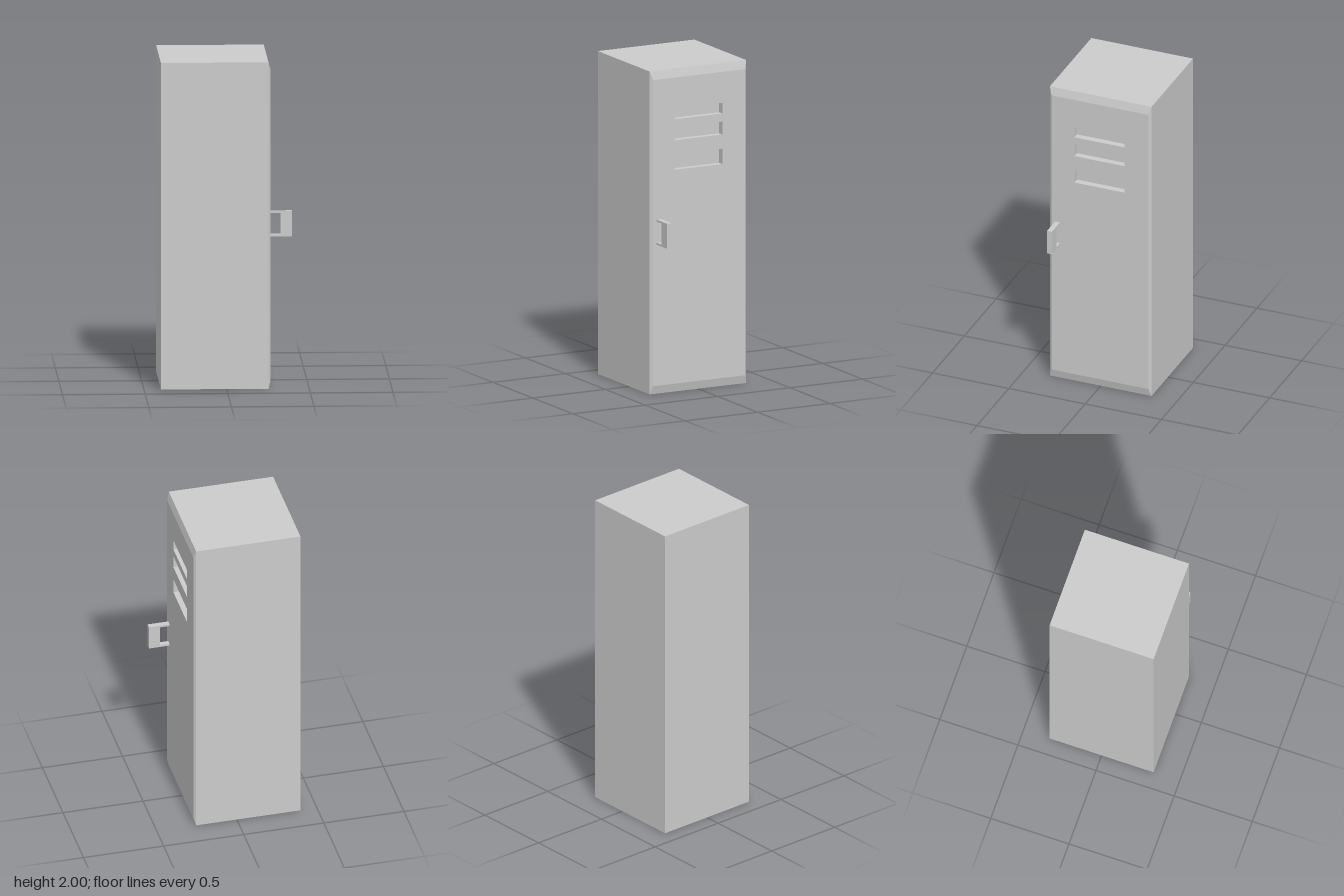
import * as THREE from 'three';

const BACK = -0.397, EDGE = 0.254, FACE = 0.268; // x of back, bevel start, door face
const DEPTH = 0.04; // depth of the vent slots
const SLOTS = [[1.69, 1.757], [1.56, 1.64], [1.377, 1.472]];
const HALF_Z = 0.333, DOOR_Z = 0.318, DOOR_Y0 = 0.052, DOOR_Y1 = 1.948;

const material = new THREE.MeshStandardMaterial({ color: 0xcccccc, flatShading: true });

function rectPath(path, x0, y0, x1, y1) {
  path.moveTo(x0, y0).lineTo(x1, y0).lineTo(x1, y1).lineTo(x0, y1).closePath();
  return path;
}

// Rectangular cross-sections along x: back, bevel start, door edge; front left open
function cabinetGeometry() {
  const sections = [
    [BACK, HALF_Z, 0, 2],
    [EDGE, HALF_Z, 0, 2],
    [FACE, DOOR_Z, DOOR_Y0, DOOR_Y1],
  ];
  const positions = [];
  for (const [x, z, y0, y1] of sections) {
    positions.push(x, y0, z, x, y0, -z, x, y1, -z, x, y1, z);
  }
  const index = [0, 2, 1, 0, 3, 2];
  for (let s = 0; s < sections.length - 1; s++) {
    for (let i = 0; i < 4; i++) {
      const a = s * 4 + i, b = s * 4 + (i + 1) % 4;
      index.push(a, b, b + 4, a, b + 4, a + 4);
    }
  }
  const indexed = new THREE.BufferGeometry();
  indexed.setAttribute('position', new THREE.Float32BufferAttribute(positions, 3));
  indexed.setIndex(index);
  const geometry = indexed.toNonIndexed();
  geometry.computeVertexNormals();
  return geometry;
}

// Door panel pierced by the vents, drawn in (-z, y) and turned to face +x
function doorGeometry() {
  const shape = rectPath(new THREE.Shape(), -DOOR_Z, DOOR_Y0, DOOR_Z, DOOR_Y1);
  for (const [y0, y1] of SLOTS) {
    shape.holes.push(rectPath(new THREE.Path(), -0.167, y0, 0.16, y1));
  }
  const geometry = new THREE.ExtrudeGeometry(shape, { depth: DEPTH, bevelEnabled: false });
  return geometry.rotateY(Math.PI / 2).translate(FACE - DEPTH, 0, 0);
}

// C-shaped latch: a flat grip on two thin arms
function handleGeometry() {
  const points = [
    [FACE, 0.926], [0.397, 0.926], [0.397, 1.081], [FACE, 1.081],
    [FACE, 1.069], [0.328, 1.069], [0.328, 0.938], [FACE, 0.938],
  ];
  const shape = new THREE.Shape(points.map(([x, y]) => new THREE.Vector2(x, y)));
  const geometry = new THREE.ExtrudeGeometry(shape, { depth: 0.033, bevelEnabled: false });
  return geometry.translate(0, 0, 0.26);
}

export function createModel() {
  const group = new THREE.Group();
  group.name = 'locker';
  const add = (name, geometry) => {
    const mesh = new THREE.Mesh(geometry, material);
    mesh.name = name;
    group.add(mesh);
    return mesh;
  };

  add('cabinet', cabinetGeometry());
  add('door', doorGeometry());
  add('handle', handleGeometry());

  // Closed backs of the vent slots
  SLOTS.forEach(([y0, y1], i) => {
    const back = add(`ventBack${i + 1}`, new THREE.PlaneGeometry(0.327, y1 - y0));
    back.rotation.y = Math.PI / 2;
    back.position.set(FACE - DEPTH, (y0 + y1) / 2, 0.0035);
  });

  return group;
}
